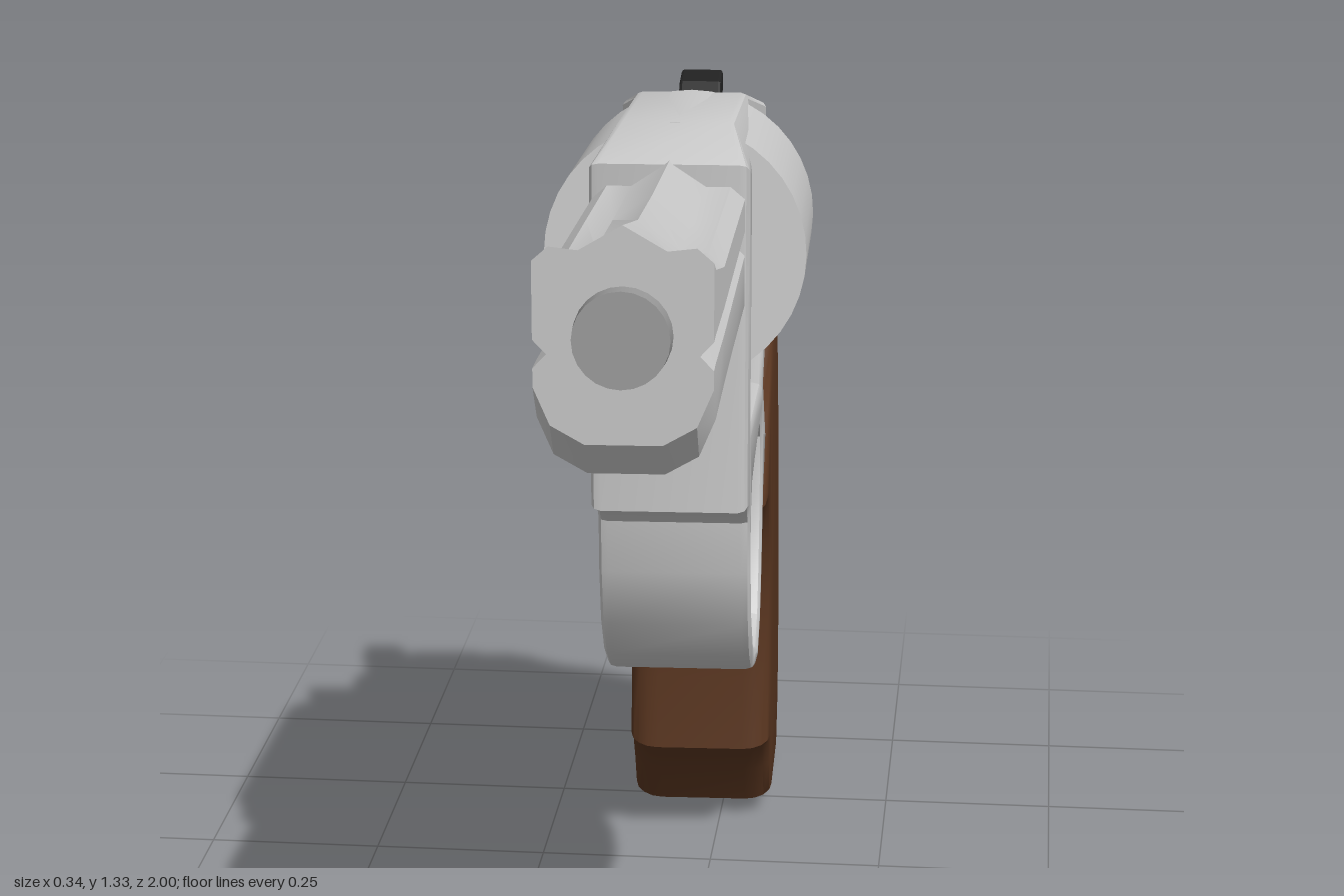
import * as THREE from 'three';
import { toCreasedNormals } from 'three/addons/utils/BufferGeometryUtils.js';

const PITCH = 0.1; // upward tilt of the barrel axis
const YAW = 0.038; // slight turn of the whole model

const material = (color = 0xcccccc) => new THREE.MeshStandardMaterial({ color });
const steel = material();
const dark = material(0x222222);
const shadowSteel = material(0x777777);
const wood = material(0x5a3620);

function addMesh(parent, name, geometry, mat) {
  const mesh = new THREE.Mesh(geometry, mat);
  mesh.name = name;
  parent.add(mesh);
  return mesh;
}

const toVectors = (pts) => pts.map(([z, y]) => new THREE.Vector2(z, y));

// Side profile in (z, y), extruded symmetrically across x with bevelled edges
function slab(outline, halfWidth, bevel = 0.01, holes = [], bevelDepth = bevel, segments = 2) {
  const shape = new THREE.Shape(toVectors(outline));
  holes.forEach((h) => shape.holes.push(new THREE.Path(toVectors(h))));
  const geometry = new THREE.ExtrudeGeometry(shape, {
    depth: 2 * (halfWidth - bevelDepth), bevelEnabled: bevel > 0, bevelSize: bevel,
    bevelThickness: bevelDepth, bevelOffset: -bevel, bevelSegments: segments,
  });
  geometry.translate(0, 0, -(halfWidth - bevelDepth));
  geometry.rotateY(-Math.PI / 2);
  return geometry;
}

// Cylinder lying along the tilted barrel axis
function axial(parent, name, radius, length, y, z, sides = 32, mat = steel, rear = radius) {
  const mesh = addMesh(parent, name, new THREE.CylinderGeometry(radius, rear, length, sides), mat);
  mesh.rotation.x = Math.PI / 2 - PITCH;
  mesh.position.set(0, y, z);
  return mesh;
}

// Barrel lofted from mirrored sections: ribbed top, side groove, rounded lug below
function barrelGeometry() {
  const sections = [ // z, top, shoulder, groove, bottom
    [0.965, 1.335, 1.312, 1.2, 1.105],
    [0.925, 1.326, 1.295, 1.197, 1.062],
    [0.74, 1.285, 1.25, 1.175, 1.045],
    [0.5, 1.255, 1.225, 1.152, 1.02],
    [0.17, 1.22, 1.19, 1.12, 0.982],
  ];
  const positions = [];
  const index = [];
  let n = 0;
  sections.forEach(([z, top, edge, groove, bottom]) => {
    const half = [
      [0, top], [0.045, (top + edge) / 2 - 0.015], [0.075, edge], [0.092, edge - 0.015],
      [0.092, groove + 0.015], [0.078, groove], [0.092, groove - 0.015],
      [0.092, bottom + 0.06], [0.075, bottom + 0.02], [0.04, bottom], [0, bottom],
    ];
    const ring = [...half, ...half.slice(1, -1).reverse().map(([x, y]) => [-x, y])];
    n = ring.length;
    ring.forEach(([x, y]) => positions.push(x, y, z));
  });
  for (let i = 0; i < sections.length - 1; i++) {
    for (let j = 0; j < n; j++) {
      const a = i * n + j, b = i * n + ((j + 1) % n);
      index.push(a, b, a + n, b, b + n, a + n);
    }
  }
  // end caps
  const last = sections.length - 1;
  const front = positions.length / 3;
  positions.push(0, sections[0][3], sections[0][0], 0, sections[last][3], sections[last][0]);
  for (let j = 0; j < n; j++) {
    const k = (j + 1) % n;
    index.push(front, k, j, front + 1, last * n + j, last * n + k);
  }
  const geometry = new THREE.BufferGeometry();
  geometry.setAttribute('position', new THREE.Float32BufferAttribute(positions, 3));
  geometry.setIndex(index);
  return toCreasedNormals(geometry, 0.6);
}

export function createModel() {
  const model = new THREE.Group();
  model.name = 'revolver';
  model.rotation.y = YAW;

  // Frame with trigger guard, cylinder window and side recess
  const frameOutline = [
    [0.2, 0.78], [0.2, 1.22], [0.05, 1.24], [-0.315, 1.2], [-0.38, 1.175], [-0.4, 1.12],
    [-0.425, 1.05], [-0.5, 0.985], [-0.585, 0.93], [-0.69, 0.905], [-0.7, 0.86], [-0.6, 0.75],
    [-0.47, 0.67], [-0.39, 0.62], [-0.365, 0.56], [-0.338, 0.5], [-0.3, 0.455], [-0.22, 0.43],
    [-0.13, 0.45], [-0.06, 0.475], [0.01, 0.52], [0.06, 0.58], [0.085, 0.66], [0.09, 0.73],
    [0.12, 0.757],
  ];
  const cylinderWindow = [
    [0.1, 1.18], [0.1, 0.855], [-0.29, 0.805], [-0.3, 0.865], [-0.36, 0.89], [-0.365, 0.98],
    [-0.32, 1.1], [-0.3, 1.16],
  ];
  const guardOpening = [
    [0.065, 0.73], [0.06, 0.66], [0.03, 0.59], [-0.03, 0.53], [-0.1, 0.49], [-0.21, 0.455],
    [-0.28, 0.475], [-0.318, 0.53], [-0.345, 0.62], [-0.345, 0.71], [-0.3, 0.762], [-0.05, 0.765],
    [0.03, 0.762],
  ];
  const recess = [
    [-0.405, 0.95], [-0.44, 0.96], [-0.51, 0.945], [-0.55, 0.9], [-0.545, 0.875], [-0.46, 0.86],
    [-0.405, 0.9],
  ];
  const frame = slab(frameOutline, 0.097, 0.008, [cylinderWindow, guardOpening, recess], 0.012);
  // narrow the top strap and the rear tang
  const p = frame.attributes.position;
  for (let i = 0; i < p.count; i++) {
    const z = p.getZ(i);
    if (p.getY(i) > 1.15 && z < 0.08 && z > -0.34) p.setX(i, p.getX(i) * 0.77);
    else if (z < -0.56) p.setX(i, p.getX(i) * 0.9);
  }
  addMesh(model, 'frame', toCreasedNormals(frame, 0.6), steel);
  addMesh(model, 'recessPlate', slab(recess, 0.06, 0), shadowSteel);

  // Barrel and muzzle
  addMesh(model, 'barrel', barrelGeometry(), steel);
  axial(model, 'muzzle', 0.05, 0.08, 1.22, 0.957, 24, material(0x999999), 0.053);

  // Cylinder with its axle and rear ratchet
  axial(model, 'cylinder', 0.164, 0.375, 1.058, -0.115, 40);
  axial(model, 'cylinderAxle', 0.045, 0.52, 1.055, -0.12, 20);
  axial(model, 'ratchet', 0.085, 0.07, 1.036, -0.33, 24, steel, 0.07);

  // Recoil shield bulging behind the cylinder
  const shield = addMesh(model, 'recoilShield', new THREE.SphereGeometry(1, 24, 16), steel);
  shield.scale.set(0.115, 0.07, 0.04);
  shield.position.set(0, 1.05, -0.36);

  // Trigger
  addMesh(model, 'trigger', slab([
    [-0.17, 0.775], [-0.18, 0.71], [-0.165, 0.645], [-0.135, 0.605], [-0.075, 0.578],
    [-0.12, 0.58], [-0.165, 0.605], [-0.205, 0.66], [-0.225, 0.72], [-0.235, 0.775],
  ].reverse(), 0.028, 0.004), dark);

  // Hammer with its spur
  addMesh(model, 'hammer', slab([
    [-0.38, 1.165], [-0.445, 1.165], [-0.49, 1.135], [-0.53, 1.17], [-0.585, 1.175],
    [-0.59, 1.145], [-0.545, 1.13], [-0.515, 1.095], [-0.535, 1.045], [-0.605, 1.005],
    [-0.6, 0.988], [-0.53, 0.998], [-0.46, 1.0], [-0.41, 1.05], [-0.44, 1.11],
  ], 0.029, 0.004), dark);

  // Grip with rounded edges
  const grip = slab([
    [-0.625, 0.89], [-0.75, 0.895], [-0.775, 0.85], [-0.81, 0.745], [-0.88, 0.61], [-0.94, 0.47],
    [-0.98, 0.32], [-0.995, 0.18], [-0.985, 0.08], [-0.925, 0.005], [-0.675, 0.03],
    [-0.635, 0.095], [-0.6, 0.14], [-0.555, 0.16], [-0.568, 0.265], [-0.575, 0.38],
    [-0.555, 0.48], [-0.5, 0.55], [-0.44, 0.575], [-0.375, 0.585], [-0.38, 0.62],
    [-0.42, 0.665], [-0.5, 0.725], [-0.585, 0.785], [-0.615, 0.835],
  ], 0.103, 0.022, [], 0.04, 4);
  addMesh(model, 'grip', toCreasedNormals(grip, 0.7), wood);

  return model;
}
